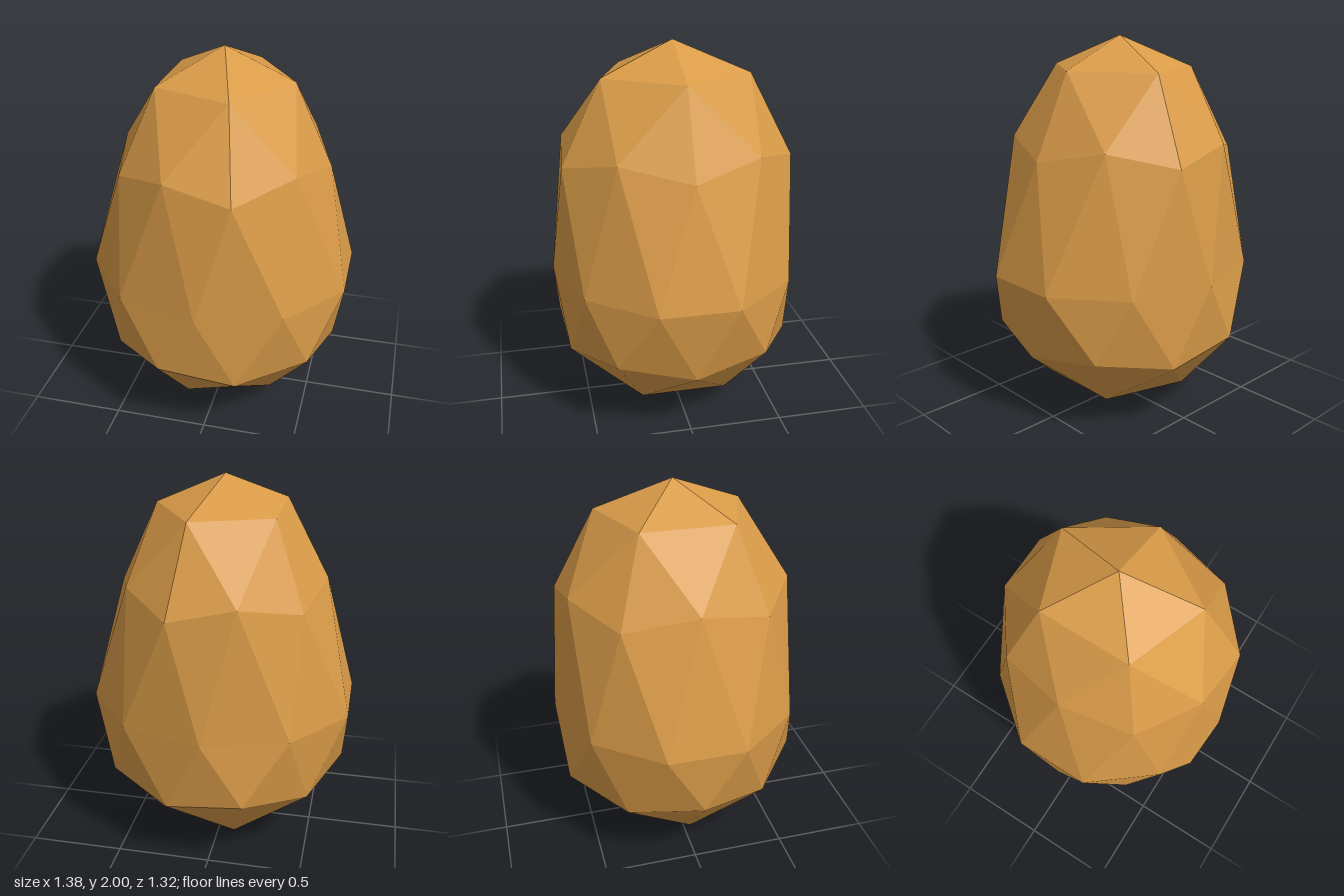
import * as THREE from 'three';

// One ring of evenly spaced points on an ellipse, starting at a given angle
function ring(count, y, rx, rz, startDeg) {
  return Array.from({ length: count }, (_, i) => {
    const a = THREE.MathUtils.degToRad(startDeg + (i * 360) / count);
    return new THREE.Vector3(rx * Math.cos(a), y, rz * Math.sin(a));
  });
}

export function createModel() {
  const amber = new THREE.MeshStandardMaterial({ color: 0xd99b48, flatShading: true });
  amber.name = 'amber';

  // Cross-sections of the faceted egg, from tip to base
  const tip = new THREE.Vector3(0, 2, 0);
  const crown = ring(5, 1.84, 0.36, 0.402, 0);
  const upperGap = ring(5, 1.49, 0.535, 0.6, 36);
  const upper = ring(5, 1.415, 0.56, 0.628, 0);
  const waist = ring(10, 0.803, 0.7255, 0.66, 18);
  const lower = ring(5, 0.455, 0.665, 0.662, 36);
  const lowerGap = ring(5, 0.395, 0.63, 0.632, 72);
  const foot = ring(5, 0.125, 0.392, 0.39, 36);
  const base = new THREE.Vector3(0, 0, 0);

  // Each large triangle is split in four through its edge midpoints
  const points = [];
  const centre = new THREE.Vector3(0, 0.9, 0);
  const normal = new THREE.Vector3();
  function face(a, b, c) {
    new THREE.Triangle(a, b, c).getNormal(normal);
    const outward = normal.dot(a.clone().sub(centre)) > 0;
    points.push(a, ...(outward ? [b, c] : [c, b]));
  }
  function split(a, b, c, ab, bc, ca) {
    face(a, ab, ca);
    face(b, bc, ab);
    face(c, ca, bc);
    face(ab, bc, ca);
  }

  // Five repeating segments: cap, two side triangles, underside
  for (let k = 0; k < 5; k++) {
    const n = (k + 1) % 5;
    const w0 = waist[2 * k], w1 = waist[2 * k + 1], w2 = waist[(2 * k + 2) % 10];
    split(tip, upper[k], upper[n], crown[k], upperGap[k], crown[n]);
    split(upper[k], upper[n], lower[k], upperGap[k], w1, w0);
    split(upper[n], lower[k], lower[n], w1, lowerGap[k], w2);
    split(base, lower[k], lower[n], foot[k], lowerGap[k], foot[n]);
  }

  const geometry = new THREE.BufferGeometry().setFromPoints(points);
  geometry.computeVertexNormals();

  const body = new THREE.Mesh(geometry, amber);
  body.name = 'facetedEgg';
  const group = new THREE.Group();
  group.name = 'egg';
  group.add(body);
  return group;
}
